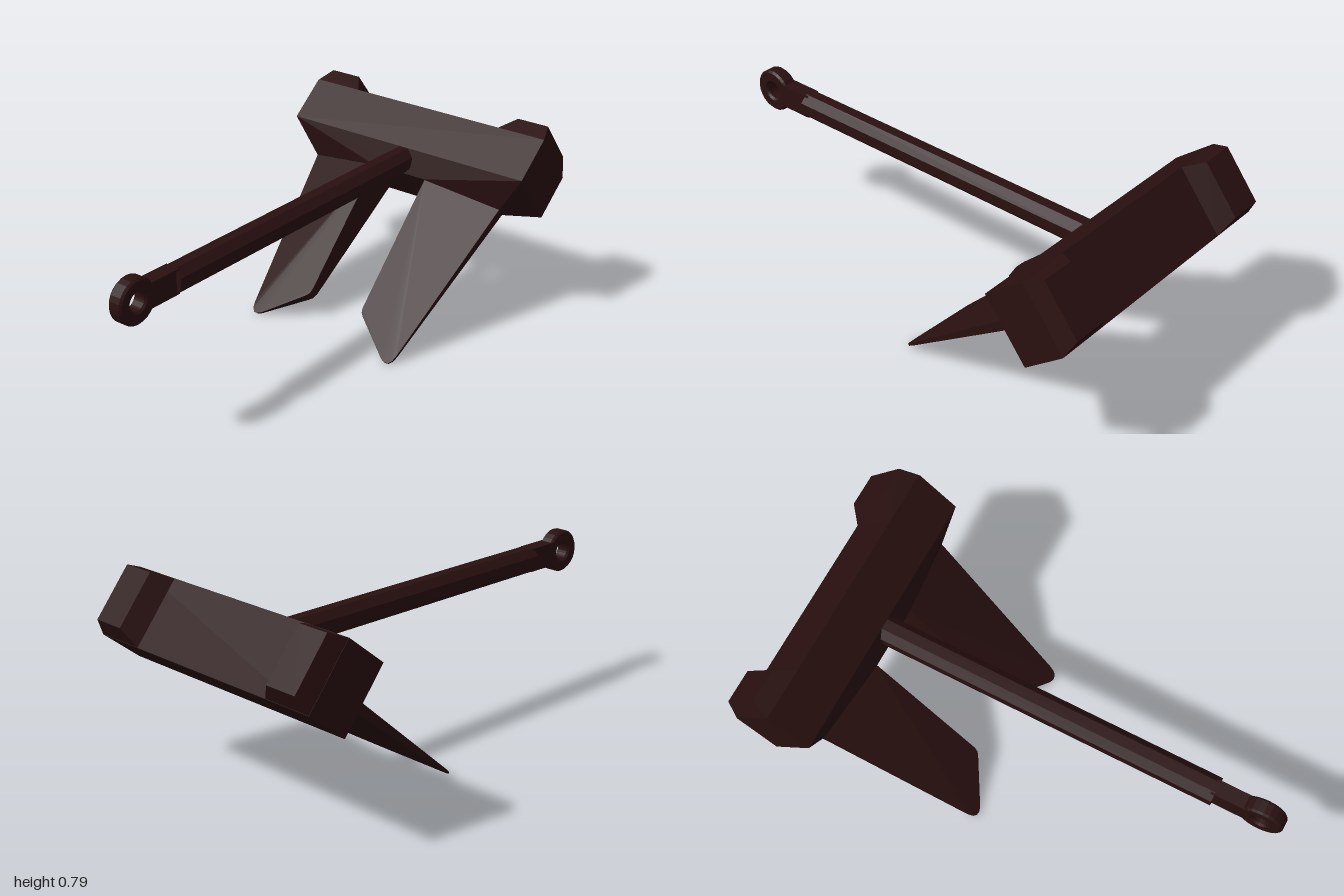
import * as THREE from 'three';
import { ConvexGeometry } from 'three/addons/geometries/ConvexGeometry.js';

// Tilted crown axes: u runs along the flukes, v across their thickness
const at = (x, u, v) => new THREE.Vector3(x, -0.63 * u + 0.777 * v, 0.777 * u + 0.63 * v);

// Four corners of a rectangle lying across u
const rect = (x0, x1, u, v0, v1) => [at(x0, u, v0), at(x1, u, v0), at(x1, u, v1), at(x0, u, v1)];

export function createModel() {
  const model = new THREE.Group();
  const iron = new THREE.MeshStandardMaterial({ color: 0x2a1010 });
  iron.name = 'dark iron';

  const add = (name, geometry) => {
    const mesh = new THREE.Mesh(geometry, iron);
    mesh.name = name;
    model.add(mesh);
    return mesh;
  };
  const hull = (name, points) => add(name, new ConvexGeometry(points));

  // Crown: a heavy bar whose front tapers towards the flukes
  hull('crown', [
    ...rect(-0.55, 0.55, -1.093, -0.177, 0.1),
    ...rect(-0.55, 0.55, -0.9, -0.177, 0.1),
    ...rect(-0.125, 0.125, -0.815, -0.14, 0.043),
    ...rect(-0.45, 0.45, -0.815, -0.07, -0.03),
  ]);

  for (const s of [1, -1]) {
    const side = s > 0 ? 'left' : 'right';

    // Raised chamfered lobe on the back of each crown end
    hull(side + 'Lobe', [
      ...rect(s * 0.34, s * 0.55, -1.09, -0.177, 0.1),
      ...rect(s * 0.39, s * 0.525, -1.164, -0.145, 0.0775),
    ]);

    // Fluke: thick at the inner root, thin along the outer edge and tip
    const outline = [ // x, u, half thickness
      [0.125, -0.82, 0.09], [0.45, -0.82, 0.02],
      [0.354, -0.12, 0.005], [0.347, -0.093, 0.004], [0.335, -0.08, 0.003],
      [0.318, -0.078, 0.003], [0.3, -0.086, 0.004],
      [0.145, -0.212, 0.018], [0.13, -0.227, 0.02], [0.125, -0.248, 0.023],
    ];
    hull(side + 'Fluke', outline.flatMap(([x, u, h]) => [at(s * x, u, -0.05 - h), at(s * x, u, -0.05 + h)]));
  }

  // Octagonal shank
  const shank = new THREE.CylinderGeometry(0.0545, 0.0545, 1.45, 8).toNonIndexed();
  shank.rotateY(Math.PI / 8).rotateX(Math.PI / 2);
  shank.computeVertexNormals();
  add('shank', shank).position.set(0, 0.593, 0.005);

  // Flat neck between the shank and the eye
  add('neck', new THREE.BoxGeometry(0.06, 0.096, 0.15)).position.set(0, 0.593, 0.79);

  // Eye ring
  const ring = new THREE.Shape().absarc(0, 0, 0.078, 0, Math.PI * 2);
  ring.holes.push(new THREE.Path().absarc(0, 0, 0.043, 0, Math.PI * 2, true));
  const eye = new THREE.ExtrudeGeometry(ring, {
    depth: 0.044, bevelThickness: 0.008, bevelSize: 0.008, bevelSegments: 1, curveSegments: 12,
  });
  eye.translate(0, 0, -0.022).rotateY(Math.PI / 2);
  add('eye', eye).position.set(0, 0.593, 0.914);

  return model;
}
